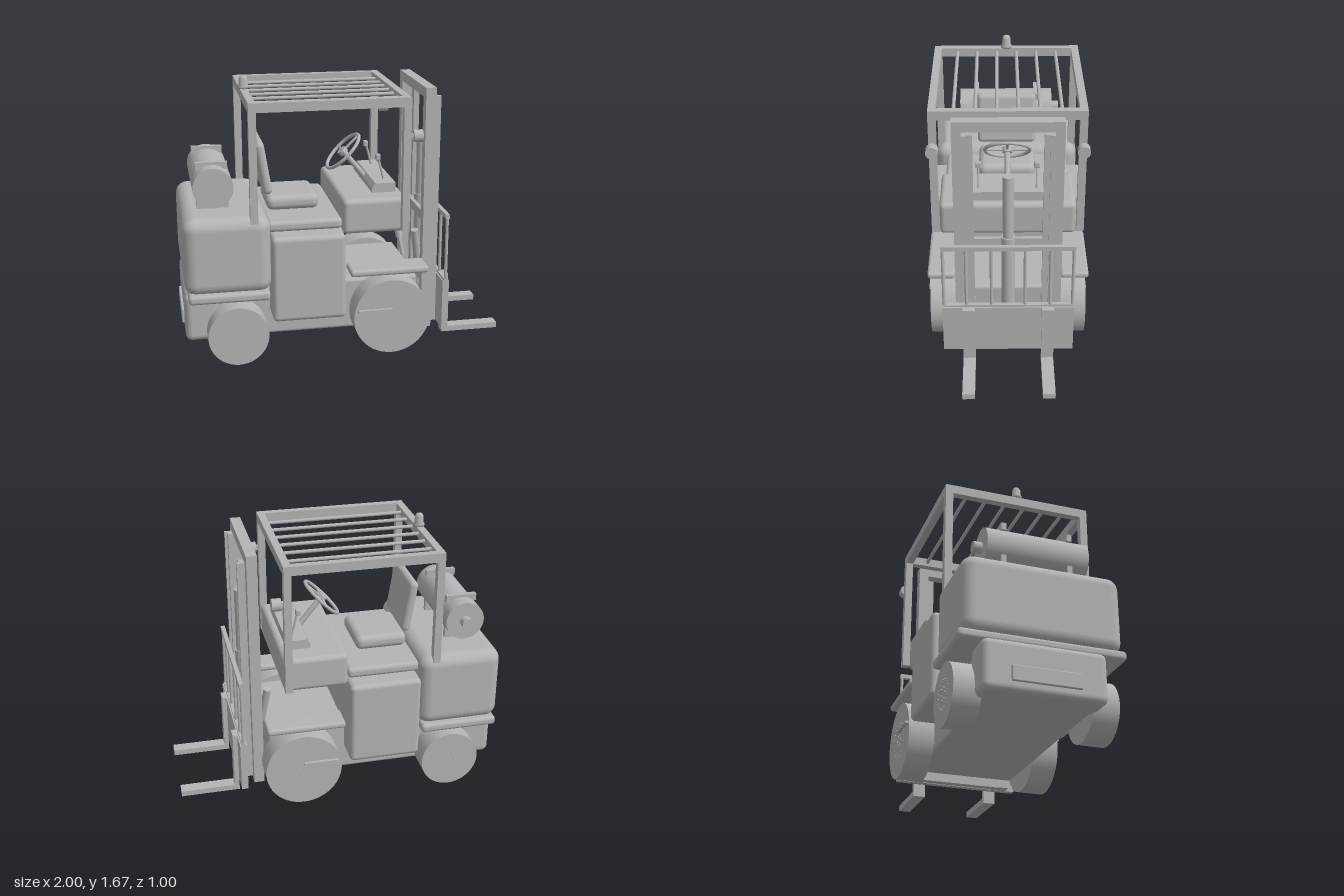
import * as THREE from 'three';
import { RoundedBoxGeometry } from 'three/addons/geometries/RoundedBoxGeometry.js';

export function createModel() {
  const model = new THREE.Group();
  model.name = 'forklift';
  const grey = new THREE.MeshStandardMaterial({ color: 0xb4b4b4 });
  grey.name = 'grey';

  const add = (name, geometry, x = 0, y = 0, z = 0) => {
    const mesh = new THREE.Mesh(geometry, grey);
    mesh.name = name;
    mesh.position.set(x, y, z);
    model.add(mesh);
    return mesh;
  };
  // Boxes are given by their extents along x, y and z
  const box = (name, x0, x1, y0, y1, z0, z1) =>
    add(name, new THREE.BoxGeometry(x1 - x0, y1 - y0, z1 - z0), (x0 + x1) / 2, (y0 + y1) / 2, (z0 + z1) / 2);
  const soft = (name, x0, x1, y0, y1, z0, z1, r) =>
    add(name, new RoundedBoxGeometry(x1 - x0, y1 - y0, z1 - z0, 4, r), (x0 + x1) / 2, (y0 + y1) / 2, (z0 + z1) / 2);
  // Round bar between two points
  const rod = (name, a, b, r, rEnd = r, sides = 20) => {
    const from = new THREE.Vector3(...a), to = new THREE.Vector3(...b);
    const dir = to.clone().sub(from);
    const mesh = add(name, new THREE.CylinderGeometry(rEnd, r, dir.length(), sides));
    mesh.position.copy(from).add(to).multiplyScalar(0.5);
    mesh.quaternion.setFromUnitVectors(new THREE.Vector3(0, 1, 0), dir.normalize());
    return mesh;
  };

  // Body
  soft('chassis', -0.85, 0.45, 0.12, 0.44, -0.32, 0.32, 0.02);
  soft('lowerCounterweight', -0.985, -0.78, 0.12, 0.42, -0.36, 0.36, 0.04);
  soft('rearPlate', -1, -0.97, 0.18, 0.27, -0.2, 0.2, 0.006);
  soft('rearFender', -0.965, -0.485, 0.405, 0.462, -0.49, 0.49, 0.022);
  soft('upperCounterweight', -0.985, -0.47, 0.44, 0.913, -0.468, 0.468, 0.075);
  soft('engineBox', -0.47, -0.03, 0.26, 0.79, -0.49, 0.49, 0.03);
  soft('seatDeck', -0.485, -0.035, 0.795, 0.86, -0.395, 0.395, 0.025);
  soft('dashboard', -0.032, 0.36, 0.76, 0.972, -0.41, 0.41, 0.03);

  // Seat
  soft('seatCushion', -0.46, -0.14, 0.86, 0.952, -0.18, 0.18, 0.04);
  const back = soft('seatBack', -0.503, -0.447, 0.965, 1.292, -0.19, 0.19, 0.027);
  back.rotation.z = 0.16;

  // Console wedge
  const wedge = new THREE.Shape([[0.17, 0.965], [0.315, 0.965], [0.315, 1.03], [0.19, 1.03], [0.17, 1.0]]
    .map(([x, y]) => new THREE.Vector2(x, y)));
  add('console', new THREE.ExtrudeGeometry(wedge, { depth: 0.55, bevelEnabled: false }), 0, 0, -0.275);

  // Steering wheel and column
  rod('steeringColumn', [0.19, 0.99, 0], [0.045, 1.17, 0], 0.017);
  rod('steeringHub', [0.053, 1.157, 0], [0.03, 1.18, 0], 0.03);
  const rim = add('steeringRim', new THREE.TorusGeometry(0.138, 0.011, 10, 40), 0.043, 1.17, 0);
  rim.quaternion.setFromUnitVectors(new THREE.Vector3(0, 0, 1), new THREE.Vector3(-1, 1, 0).normalize());
  rod('steeringSpoke', [0.043, 1.17, -0.135], [0.043, 1.17, 0.135], 0.008);
  rod('steeringSpoke', [0.043, 1.17, 0], [0.138, 1.265, 0], 0.008);

  // Gas tank with straps and valve
  rod('gasTank', [-0.79, 1.06, -0.305], [-0.79, 1.06, 0.31], 0.12, 0.12, 40);
  rod('tankValve', [-0.79, 1.06, -0.355], [-0.79, 1.06, -0.3], 0.034);
  for (const z of [-0.2, 0.2]) {
    box('tankStrap', -0.885, -0.695, 1.15, 1.195, z - 0.015, z + 0.015);
    box('tankSaddle', -0.885, -0.695, 0.9, 1.0, z - 0.015, z + 0.015);
  }

  // Wheels with hub rings and bolts
  const wheel = (name, x, y, r, side) => {
    rod(name, [x, y, side * 0.32], [x, y, side * 0.478], r, r, 48);
    for (const [count, ring, size] of [[6, 0.035, 0.008], [20, r * 0.47, 0.004]]) {
      for (let i = 0; i < count; i++) {
        const a = (i / count) * Math.PI * 2;
        const bx = x + ring * Math.cos(a), by = y + ring * Math.sin(a);
        rod('wheelBolt', [bx, by, side * 0.47], [bx, by, side * 0.484], size, size, 8);
      }
    }
  };

  for (const s of [-1, 1]) {
    const pair = (name, x0, x1, y0, y1, z0, z1) =>
      box(name, x0, x1, y0, y1, Math.min(s * z0, s * z1), Math.max(s * z0, s * z1));
    wheel('frontWheel', 0.258, 0.24, 0.236, s);
    wheel('rearWheel', -0.678, 0.184, 0.182, s);
    pair('wheelHandle', 0.045, 0.258, 0.282, 0.297, 0.478, 0.498);
    soft('frontFender', 0, 0.48, 0.513, 0.555, s * 0.405 - 0.085, s * 0.405 + 0.085, 0.018);

    // Control levers
    rod('lever', [0.265, 1.02, s * 0.175], [0.228, 1.165, s * 0.175], 0.007);
    soft('leverKnob', 0.212, 0.24, 1.15, 1.187, s * 0.175 - 0.017, s * 0.175 + 0.017, 0.006);

    // Tilt cylinders
    rod('tiltCylinder', [0.44, 0.72, s * 0.275], [0.475, 0.5, s * 0.235], 0.023);
    rod('tiltRod', [0.475, 0.5, s * 0.235], [0.495, 0.38, s * 0.21], 0.013);

    // Mast rails
    pair('outerMastRail', 0.482, 0.546, 0.085, 1.612, 0.255, 0.318);
    pair('innerMastRail', 0.546, 0.577, 0.1, 1.55, 0.2, 0.262);
    pair('innerMastFlange', 0.577, 0.592, 0.1, 1.55, 0.235, 0.262);

    // Forks
    pair('forkShank', 0.635, 0.665, 0.02, 0.415, 0.2, 0.275);
    pair('forkBlade', 0.64, 1, 0.02, 0.055, 0.2, 0.275);

    // Guard frame posts, side rails and headlights
    pair('rearPost', -0.59, -0.545, 0.86, 1.535, 0.412, 0.458);
    pair('frontPost', 0.315, 0.36, 0.78, 1.535, 0.412, 0.458);
    pair('roofSideRail', -0.59, 0.36, 1.532, 1.588, 0.412, 0.458);
    rod('headlight', [0.375, 1.355, s * 0.437], [0.43, 1.355, s * 0.437], 0.037, 0.037, 28);
    pair('headlightBracket', 0.355, 0.38, 1.34, 1.37, 0.425, 0.45);
  }

  // Roof cross rails and slats
  box('roofRearRail', -0.59, -0.545, 1.532, 1.588, -0.412, 0.412);
  box('roofFrontRail', 0.315, 0.36, 1.532, 1.588, -0.412, 0.412);
  for (let i = 0; i < 6; i++) {
    const z = -0.3125 + i * 0.125;
    rod('roofSlat', [-0.55, 1.56, z], [0.32, 1.56, z], 0.011, 0.011, 12);
  }

  // Beacon
  const beacon = [[0, 0], [0.034, 0], [0.034, 0.014], [0.028, 0.018], [0.026, 0.06], [0.018, 0.076], [0, 0.08]]
    .map(([x, y]) => new THREE.Vector2(x, y));
  add('beacon', new THREE.LatheGeometry(beacon, 24), -0.567, 1.588, 0);

  // Mast cross members and lift cylinder
  box('mastTopBeam', 0.482, 0.546, 1.55, 1.612, -0.255, 0.255);
  box('mastMiddleBeam', 0.49, 0.515, 0.77, 0.83, -0.255, 0.255);
  box('mastBottomBeam', 0.49, 0.54, 0.085, 0.14, -0.255, 0.255);
  box('innerMastBottomBeam', 0.548, 0.575, 0.1, 0.15, -0.2, 0.2);
  rod('liftCylinder', [0.55, 0.12, 0], [0.55, 0.87, 0], 0.04, 0.04, 28);
  rod('liftPiston', [0.55, 0.87, 0], [0.55, 1.275, 0], 0.032, 0.032, 28);

  // Carriage and load guard
  box('carriagePlate', 0.595, 0.636, 0.1, 0.415, -0.395, 0.395);
  for (const y of [0.415, 0.83]) box('loadGuardRail', 0.602, 0.628, y - 0.014, y + 0.014, -0.395, 0.395);
  for (const z of [-0.385, -0.25, -0.1, 0.1, 0.25, 0.385]) {
    rod('loadGuardBar', [0.615, 0.41, z], [0.615, 0.83, z], 0.01, 0.01, 12);
  }
  return model;
}
